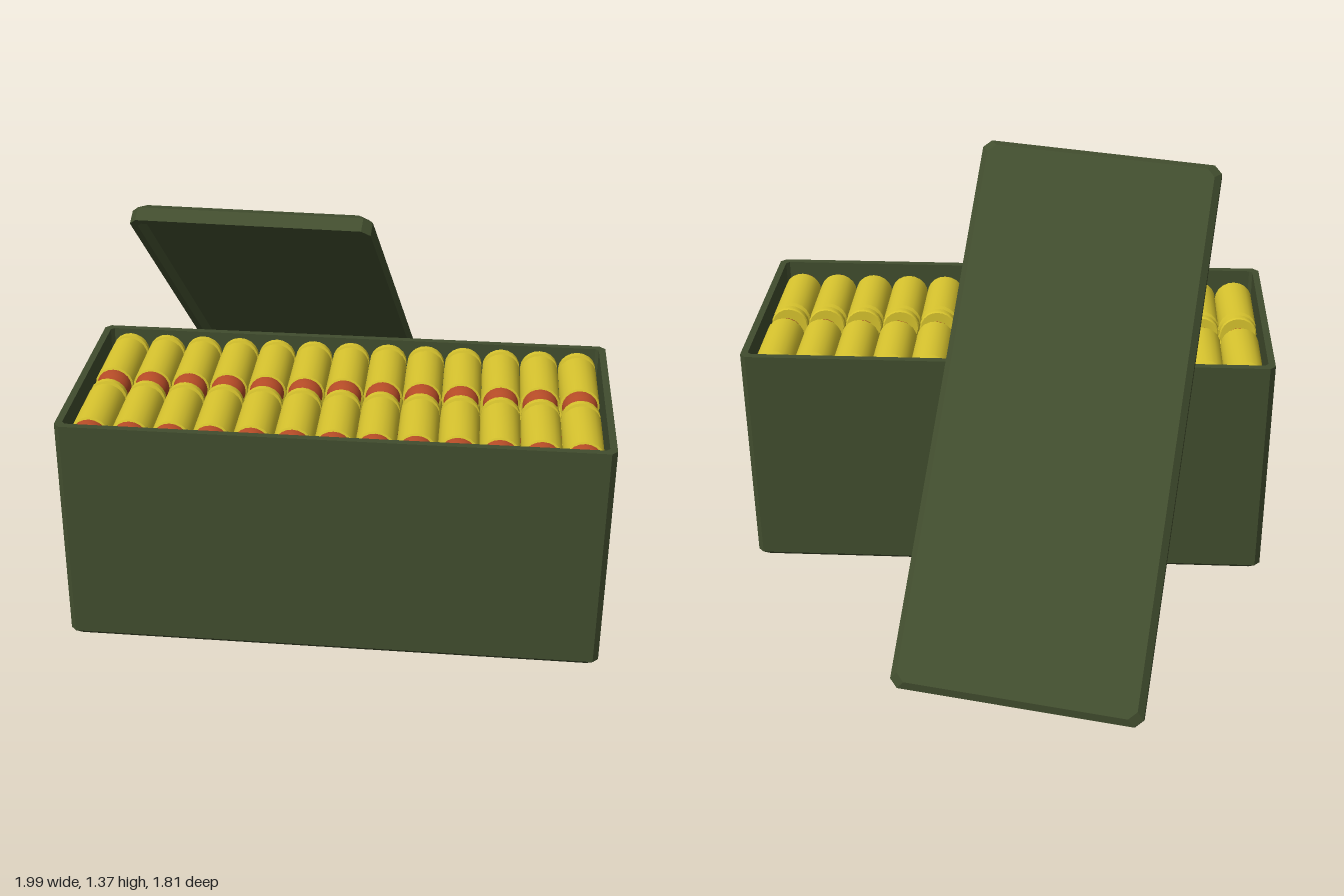
import * as THREE from 'three';
import { toCreasedNormals } from 'three/addons/utils/BufferGeometryUtils.js';

const green = new THREE.MeshStandardMaterial({ color: 0x414d2e });
const brass = new THREE.MeshStandardMaterial({ color: 0xd8c42e });
const copper = new THREE.MeshStandardMaterial({ color: 0xb34a26 });

// Rectangle outline with cut corners at height y, counter-clockwise from above
function ring(hx, hz, cut, y) {
  const c = Math.min(cut, hx, hz);
  return [
    [hx, hz - c], [hx, c - hz], [hx - c, -hz], [c - hx, -hz],
    [-hx, c - hz], [-hx, hz - c], [c - hx, hz], [hx - c, hz],
  ].map(([x, z]) => new THREE.Vector3(x, y, z));
}

// Open tray with a chamfered floor edge; opening faces +y
function tray(hx, hz, h, wall, cut, bevel) {
  const rings = [
    ring(0, 0, 0, 0),
    ring(hx - bevel, hz - bevel, cut, 0),
    ring(hx, hz, cut, bevel),
    ring(hx, hz, cut, h),
    ring(hx - wall, hz - wall, cut * 0.6, h),
    ring(hx - wall, hz - wall, cut * 0.6, wall),
    ring(0, 0, 0, wall),
  ];
  const points = [];
  for (let j = 0; j < rings.length - 1; j++) {
    for (let i = 0; i < 8; i++) {
      const k = (i + 1) % 8;
      const a = rings[j][i], b = rings[j][k], c = rings[j + 1][k], d = rings[j + 1][i];
      if (j > 0) points.push(a, b, c);
      if (j === 0) points.push(a, c, d);
      else if (j < rings.length - 2) points.push(a, c, d);
    }
  }
  const geometry = new THREE.BufferGeometry().setFromPoints(points);
  geometry.computeVertexNormals();
  return geometry;
}

// Turned part lying along +z
function turned(profile) {
  const geometry = new THREE.LatheGeometry(profile.map(([r, y]) => new THREE.Vector2(r, y)), 20);
  return toCreasedNormals(geometry.rotateX(Math.PI / 2), 0.7);
}

export function createModel() {
  const model = new THREE.Group();

  // Box with its contents, turned on the ground
  const box = new THREE.Group();
  box.name = 'ammunitionBox';
  box.position.set(0.15, 0.02, 0.05);
  box.rotation.y = 0.798;
  model.add(box);

  const body = new THREE.Mesh(tray(0.848, 0.367, 0.77, 0.022, 0.018, 0.018), green);
  body.name = 'boxBody';
  box.add(body);

  // Cartridge: rim, extractor groove and case, then a domed tip
  const caseGeometry = turned([
    [0, 0], [0.058, 0], [0.062, 0.004], [0.062, 0.022], [0.05, 0.026],
    [0.05, 0.036], [0.063, 0.044], [0.063, 0.272], [0.056, 0.275],
  ]);
  const tip = [];
  for (let i = 0; i <= 6; i++) {
    const t = (i / 6) * Math.PI / 2;
    tip.push([0.057 * Math.cos(t), 0.272 + 0.055 * Math.sin(t)]);
  }
  const tipGeometry = turned(tip);

  // Two rows of thirteen, in stacked layers
  const pitch = 0.1263;
  for (let layer = 0; layer < 2; layer++) {
    for (const z of [-0.342, 0.004]) {
      for (let i = 0; i < 13; i++) {
        const cartridge = new THREE.Group();
        cartridge.name = 'cartridge';
        const shell = new THREE.Mesh(caseGeometry, brass);
        shell.name = 'case';
        const bullet = new THREE.Mesh(tipGeometry, copper);
        bullet.name = 'tip';
        cartridge.add(shell, bullet);
        cartridge.position.set((i - 6) * pitch, 0.695 - layer * pitch, z);
        box.add(cartridge);
      }
    }
  }

  // Lid leaning against the back of the box, its open side towards the box
  const depth = 0.065;
  const along = new THREE.Vector3(0.371, 0.754, 0.541).normalize();
  const outward = along.clone().cross(new THREE.Vector3(0.793, 0.04, -0.608)).normalize();
  const across = outward.clone().cross(along);
  const lid = new THREE.Mesh(tray(0.87, 0.383, depth, 0.022, 0.025, 0.02), green);
  lid.name = 'lid';
  lid.quaternion.setFromRotationMatrix(
    new THREE.Matrix4().makeBasis(along, outward.clone().negate(), across));
  lid.position.set(-0.372, 0.695, -0.21).addScaledVector(outward, depth / 2);
  model.add(lid);

  return model;
}
